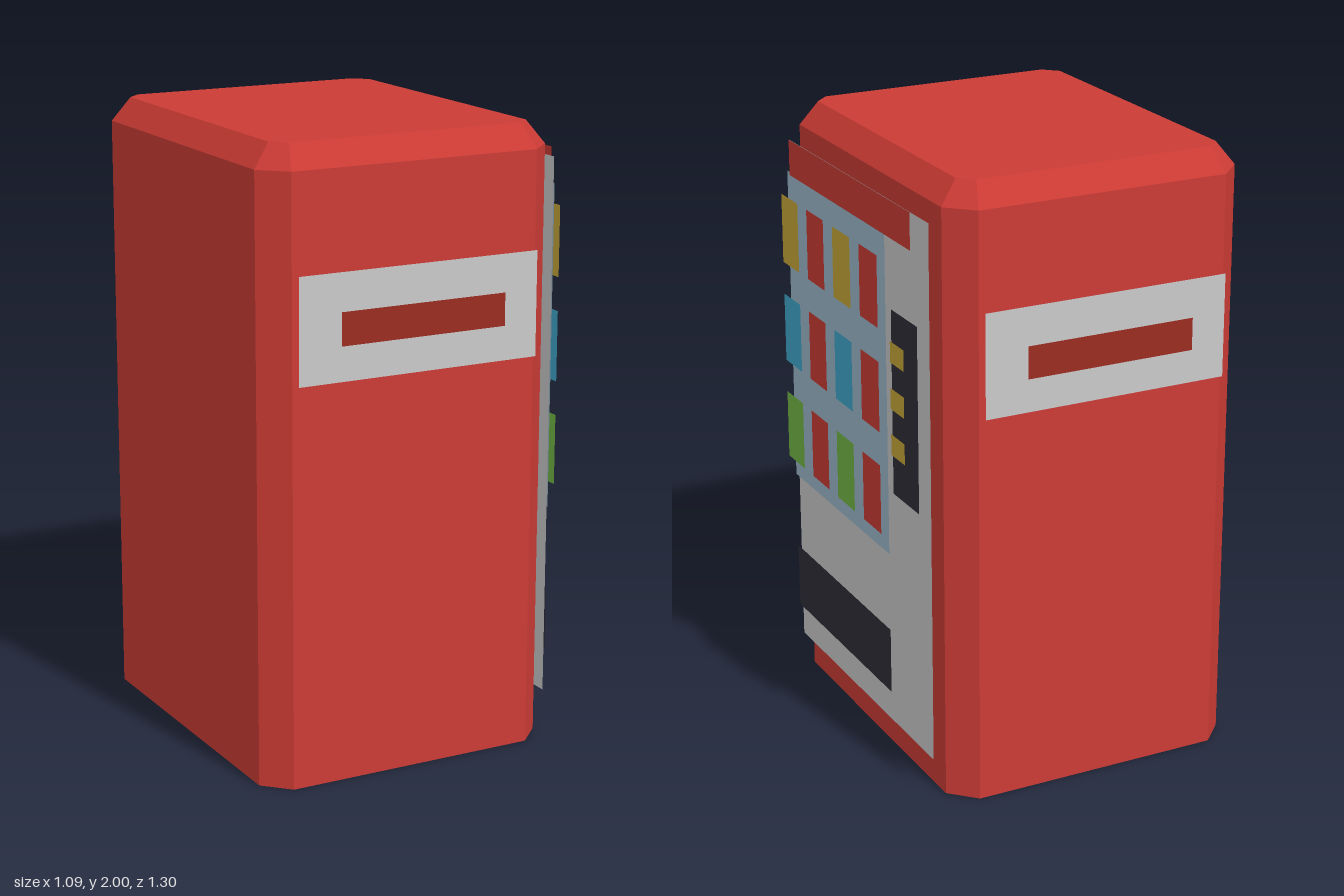
import * as THREE from 'three';

const mat = (name, color, side = THREE.FrontSide) => {
  const m = new THREE.MeshStandardMaterial({ color, side });
  m.name = name;
  return m;
};

// Octagon ring: rectangle with cut corners, counter-clockwise seen from above
function ring(y, hx, hz, cut) {
  const a = hx - cut, b = hz - cut;
  return [[hx, b], [hx, -b], [a, -hz], [-a, -hz], [-hx, -b], [-hx, b], [-a, hz], [a, hz]]
    .map(([x, z]) => new THREE.Vector3(x, y, z));
}

// Flat-faced loft through rings, closed at both ends
function loft(rings) {
  const pts = [];
  const n = rings[0].length;
  for (let r = 0; r < rings.length - 1; r++) {
    for (let i = 0; i < n; i++) {
      const j = (i + 1) % n;
      const [a, b, c, d] = [rings[r][i], rings[r][j], rings[r + 1][j], rings[r + 1][i]];
      pts.push(a, b, c, a, c, d);
    }
  }
  const bottom = rings[0], top = rings[rings.length - 1];
  for (let i = 1; i < n - 1; i++) {
    pts.push(top[0], top[i], top[i + 1]);
    pts.push(bottom[0], bottom[i + 1], bottom[i]);
  }
  const g = new THREE.BufferGeometry().setFromPoints(pts);
  g.computeVertexNormals();
  return g;
}

export function createModel() {
  const model = new THREE.Group();
  const D = THREE.DoubleSide;
  const red = mat('red', 0xcc3b35, D);
  const white = mat('light grey', 0xcacaca, D);
  const slotRed = mat('dark red', 0x9c2d22, D);
  const glass = mat('glass blue', 0x9bb8ca, D);
  const dark = mat('charcoal', 0x2d2d36, D);
  const yellow = mat('yellow', 0xc8a83a, D);
  const blue = mat('blue', 0x40a8cc, D);
  const green = mat('green', 0x72b944, D);

  const cx = -0.0465;

  // Cabinet with cut corners and a bevelled top
  const body = new THREE.Mesh(loft([
    ring(0, 0.4985, 0.598, 0.08),
    ring(1.925, 0.4985, 0.598, 0.08),
    ring(2, 0.441, 0.541, 0.045),
  ]), red);
  body.name = 'cabinet';
  body.position.x = cx;
  model.add(body);

  // Thin sheet on the dispensing (+x) side
  const sidePanel = (name, material, x, z0, z1, y0, y1) => {
    const m = new THREE.Mesh(new THREE.PlaneGeometry(z1 - z0, y1 - y0), material);
    m.name = name;
    m.rotation.y = Math.PI / 2;
    m.position.set(x, (y0 + y1) / 2, (z0 + z1) / 2);
    model.add(m);
  };

  sidePanel('facePanel', white, 0.49, -0.51, 0.513, 0.125, 1.88);
  sidePanel('window', glass, 0.515, -0.257, 0.48, 0.735, 1.79);
  sidePanel('headerSign', red, 0.52, -0.447, 0.45, 1.783, 1.9);
  sidePanel('pickupSlot', dark, 0.515, -0.257, 0.48, 0.253, 0.472);
  sidePanel('keypad', dark, 0.52, -0.488, -0.307, 0.96, 1.56);

  // Keypad buttons
  for (const y of [1.443, 1.293, 1.143]) {
    sidePanel('button', yellow, 0.545, -0.445, -0.35, y - 0.034, y + 0.034);
  }

  // Products: coloured and red items alternate along each row
  [[1.602, yellow], [1.263, blue], [0.923, green]].forEach(([y, colour]) => {
    [0.411, 0.21, 0.01, -0.189].forEach((z, i) => {
      sidePanel('product', i % 2 ? red : colour, 0.54, z - 0.065, z + 0.065, y - 0.115, y + 0.115);
    });
  });

  // Banner with a stripe on the front and the back
  for (const s of [1, -1]) {
    const banner = new THREE.Group();
    banner.name = s > 0 ? 'frontBanner' : 'backBanner';
    const plate = new THREE.Mesh(new THREE.PlaneGeometry(0.82, 0.334), white);
    plate.name = 'bannerPlate';
    plate.position.set(0, 1.452, 0.626);
    const stripe = new THREE.Mesh(new THREE.PlaneGeometry(0.563, 0.104), slotRed);
    stripe.name = 'bannerStripe';
    stripe.position.set(0, 1.453, 0.652);
    banner.add(plate, stripe);
    banner.position.x = cx;
    if (s < 0) banner.rotation.y = Math.PI;
    model.add(banner);
  }

  return model;
}
